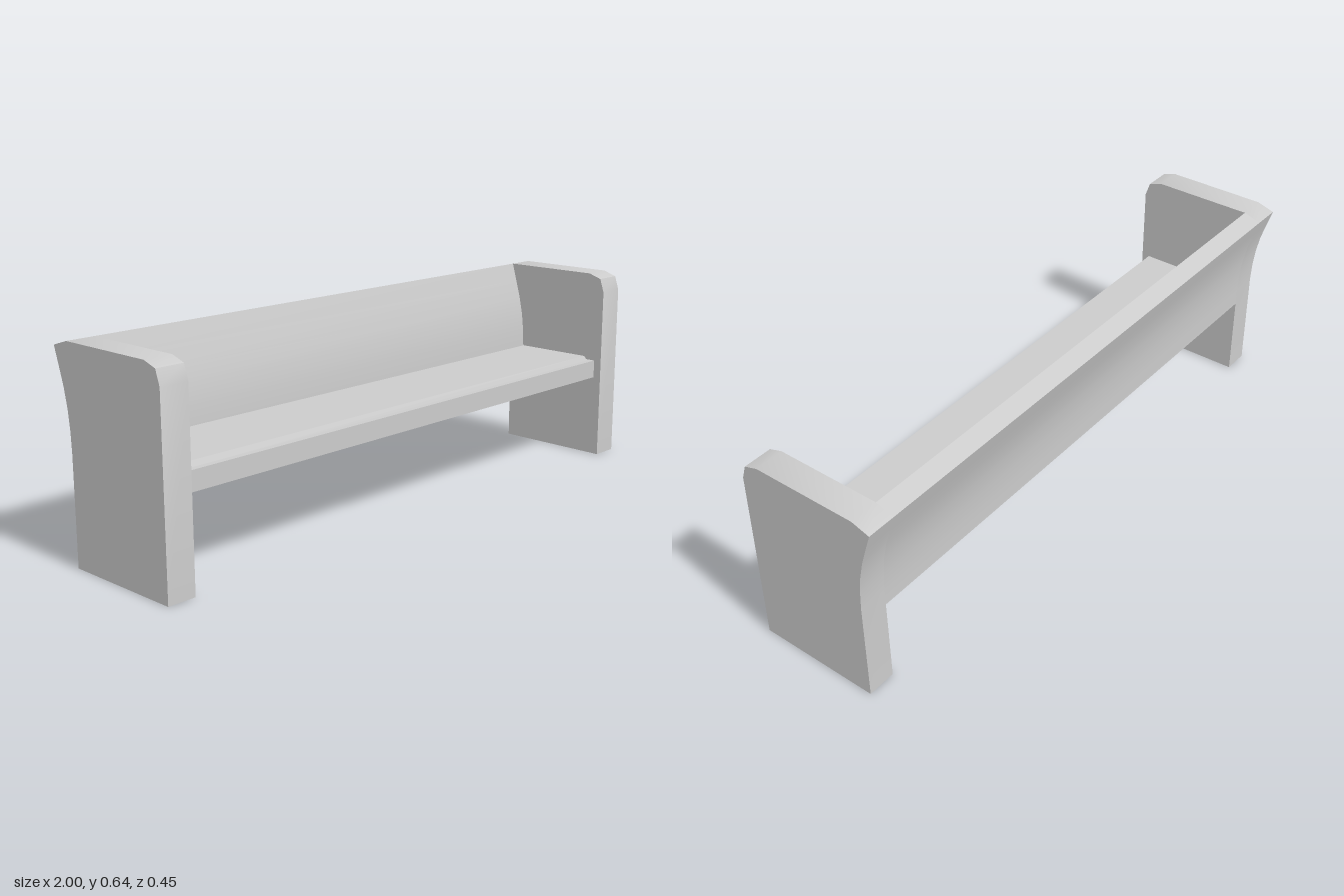
import * as THREE from 'three';
import { toCreasedNormals } from 'three/addons/utils/BufferGeometryUtils.js';

const material = new THREE.MeshStandardMaterial({ color: 0xcccccc });

// Extrudes a [z, y] profile along x, centred on the given x position
function profileMesh(name, points, width, x = 0) {
  const shape = new THREE.Shape(points.map(([z, y]) => new THREE.Vector2(-z, y)));
  const geometry = new THREE.ExtrudeGeometry(shape, { depth: width, bevelEnabled: false });
  geometry.translate(0, 0, -width / 2).rotateY(Math.PI / 2);
  const mesh = new THREE.Mesh(toCreasedNormals(geometry, 0.6), material);
  mesh.name = name;
  mesh.position.x = x;
  return mesh;
}

export function createModel() {
  const bench = new THREE.Group();
  bench.name = 'bench';

  const sideWidth = 0.09;
  const innerWidth = 2 - 2 * sideWidth;

  // Flared rear edge shared by the sides and the backrest, bottom to top
  const rearCurve = [[-0.167, 0.33], [-0.17, 0.39], [-0.177, 0.45], [-0.19, 0.51], [-0.207, 0.565], [-0.225, 0.62]];

  // Side panels with a rounded front top corner
  const sideProfile = [
    [0.227, 0], [-0.167, 0], ...rearCurve,
    [-0.167, 0.638], [0.167, 0.638], [0.212, 0.623], [0.227, 0.578],
  ];
  for (const [name, sign] of [['leftSide', 1], ['rightSide', -1]]) {
    bench.add(profileMesh(name, sideProfile, sideWidth, sign * (1 - sideWidth / 2)));
  }

  // Curved backrest, its front face following the flare of the rear edge
  const backFront = [[-0.167, 0.638], [-0.15, 0.58], [-0.133, 0.52], [-0.12, 0.46], [-0.113, 0.4], [-0.11, 0.335]];
  bench.add(profileMesh('backrest', [[-0.11, 0.275], [-0.167, 0.275], ...rearCurve, ...backFront], innerWidth));

  // Seat board between the sides
  bench.add(profileMesh('seatBase', [[0.2, 0.275], [-0.11, 0.275], [-0.11, 0.335], [0.2, 0.335]], innerWidth));

  // Thin seat pad with slightly tapered edges
  const padGeometry = new THREE.BoxGeometry(1.79, 0.017, 0.28).toNonIndexed();
  const p = padGeometry.attributes.position;
  for (let i = 0; i < p.count; i++) {
    if (p.getY(i) > 0) {
      p.setX(i, p.getX(i) - Math.sign(p.getX(i)) * 0.008);
      p.setZ(i, p.getZ(i) - Math.sign(p.getZ(i)) * 0.008);
    }
  }
  padGeometry.computeVertexNormals();
  const pad = new THREE.Mesh(padGeometry, material);
  pad.name = 'seatPad';
  pad.position.set(0, 0.3425, 0.041);
  bench.add(pad);

  return bench;
}
